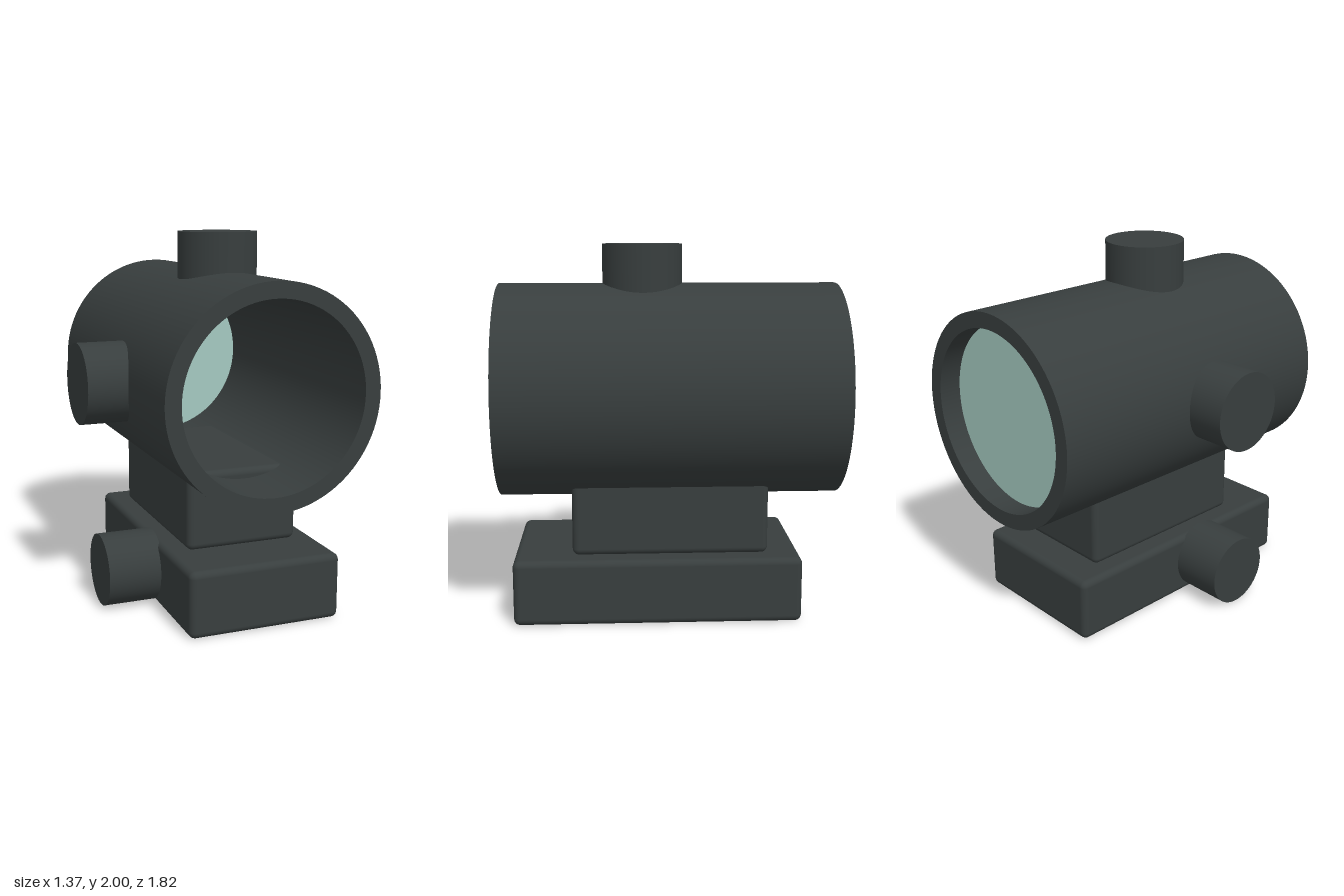
import * as THREE from 'three';
import { mergeGeometries } from 'three/addons/utils/BufferGeometryUtils.js';
import { RoundedBoxGeometry } from 'three/addons/geometries/RoundedBoxGeometry.js';

const CX = 0.105, CY = 1.213; // tube axis
const SEG = 96;

export function createModel() {
  const group = new THREE.Group();
  const body = new THREE.MeshStandardMaterial({ color: 0x383e3e });
  body.name = 'dark gunmetal';
  const glass = new THREE.MeshStandardMaterial({ color: 0xa4c9c0 });
  glass.name = 'pale green glass';

  const add = (name, geometry, material, x, y, z) => {
    const mesh = new THREE.Mesh(geometry, material);
    mesh.name = name;
    mesh.position.set(x, y, z);
    group.add(mesh);
    return mesh;
  };

  // Hollow tube: each profile edge is its own lathe so the rims stay sharp
  const R = 0.577, r = 0.492, h = 0.912;
  const loop = [[R, -h], [R, h], [r, h], [r, -h], [R, -h]].map(p => new THREE.Vector2(...p));
  const walls = [0, 1, 2, 3].map(i => new THREE.LatheGeometry([loop[i], loop[i + 1]], SEG));
  add('tube', mergeGeometries(walls).rotateX(Math.PI / 2), body, CX, CY, 0);

  // Rear lens with its small aiming dot
  const disc = (radius, depth) =>
    new THREE.CylinderGeometry(radius, radius, depth, SEG).rotateX(Math.PI / 2);
  add('lens', disc(0.493, 0.02), glass, CX, CY, -0.78);
  add('aimingDot', disc(0.025, 0.008), body, CX, CY, -0.766);

  // Mount: riser block reaching into the tube, and the base clamp
  const block = (name, x0, x1, y0, y1, z0, z1) =>
    add(name, new RoundedBoxGeometry(x1 - x0, y1 - y0, z1 - z0, 4, 0.035), body,
      (x0 + x1) / 2, (y0 + y1) / 2, (z0 + z1) / 2);
  block('riser', -0.21, 0.415, 0.352, 0.775, -0.525, 0.527);
  block('base', -0.315, 0.522, 0, 0.354, -0.70, 0.84);

  // Adjustment turrets and clamp knob
  const knob = (radius, length) => new THREE.CylinderGeometry(radius, radius, length, 64);
  add('topTurret', knob(0.215, 0.27), body, CX, 1.865, 0.14);
  add('sideTurret', knob(0.217, 0.275).rotateZ(Math.PI / 2), body, -0.5475, CY, 0.135);
  add('clampKnob', knob(0.195, 0.3).rotateZ(Math.PI / 2), body, -0.45, 0.195, 0.205);

  return group;
}
